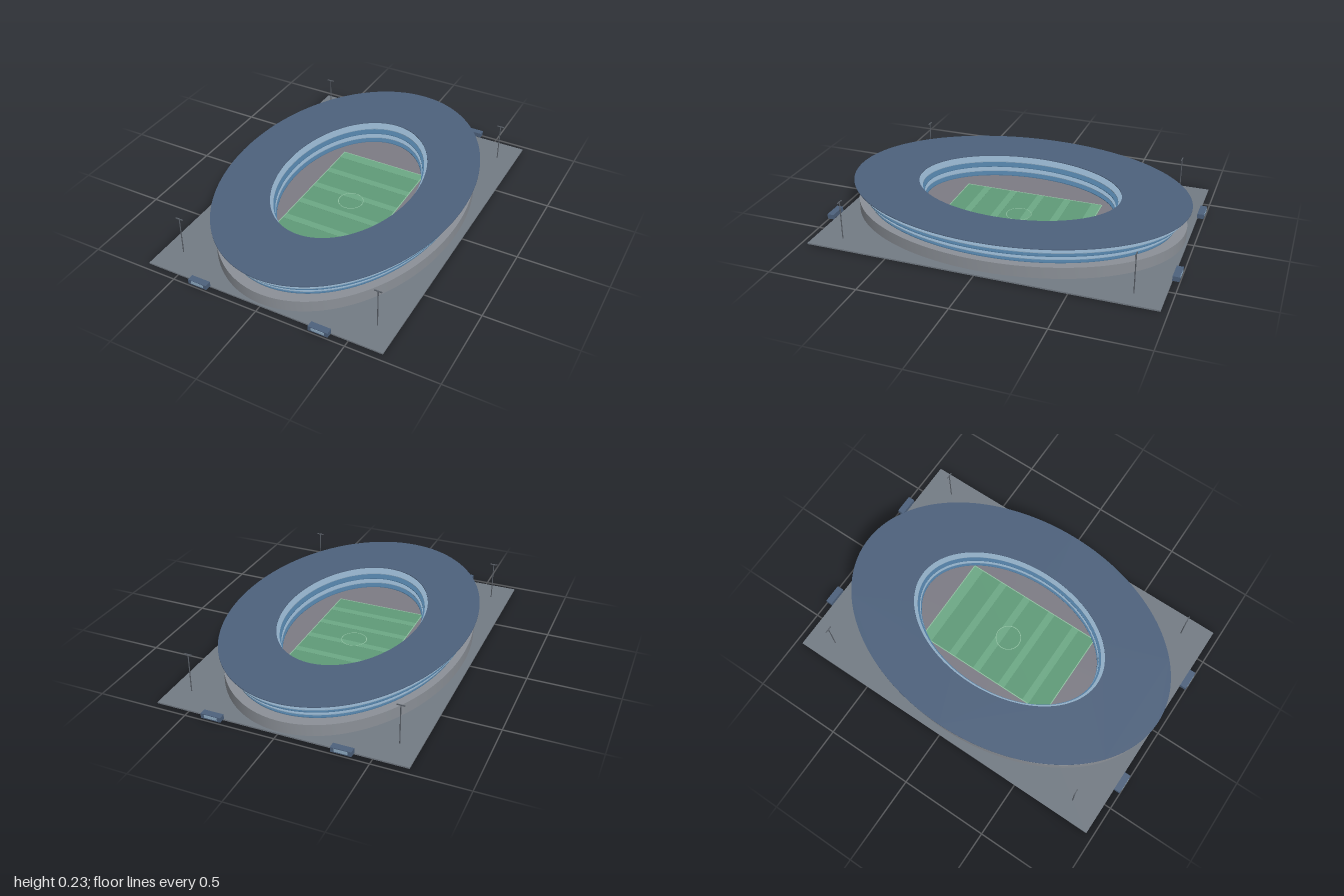
import * as THREE from 'three';
import { toCreasedNormals } from 'three/addons/utils/BufferGeometryUtils.js';

const mat = (color) => new THREE.MeshStandardMaterial({ color });
const concrete = mat(0x8b9097), paving = mat(0x737b84), track = mat(0x7c7b84);
const navy = mat(0x4d617c), blue = mat(0x4f7ba0), pale = mat(0x8facc4);
const grass = mat(0x5f9a78), grassLight = mat(0x6ca885), lineMat = mat(0x8fc0a0), steel = mat(0x5a6068);

function add(parent, name, geometry, material, x = 0, y = 0, z = 0) {
  const mesh = new THREE.Mesh(geometry, material);
  mesh.name = name;
  mesh.position.set(x, y, z);
  parent.add(mesh);
  return mesh;
}

const box = (parent, name, w, h, d, material, x, y, z) =>
  add(parent, name, new THREE.BoxGeometry(w, h, d), material, x, y, z);

// Flat elliptical ring with outer radii ax, az and inner radii bx, bz, rising from y = 0
function ellipseRing(ax, az, bx, bz, height) {
  const shape = new THREE.Shape().absellipse(0, 0, ax, az, 0, Math.PI * 2);
  shape.holes.push(new THREE.Path().absellipse(0, 0, bx, bz, 0, Math.PI * 2, true));
  const g = new THREE.ExtrudeGeometry(shape, { depth: height, bevelEnabled: false, curveSegments: 96 });
  g.rotateX(-Math.PI / 2);
  return toCreasedNormals(g, 0.6);
}

export function createModel() {
  const model = new THREE.Group();
  model.name = 'stadium';

  // Site slab and floor inside the bowl
  box(model, 'groundSlab', 1.37, 0.008, 1.925, paving, 0, 0.004, 0);
  const floor = add(model, 'innerFloor', new THREE.CircleGeometry(1, 96), track, 0, 0.009, 0);
  floor.rotation.x = -Math.PI / 2;
  floor.scale.set(0.6, 0.89, 1);

  // Outer wall
  add(model, 'outerWall', ellipseRing(0.645, 0.95, 0.6, 0.89, 0.067), concrete, 0, 0.006, 0);

  // Seating tiers and roof: y, outer radii, inner radii, material
  [
    [0.074, 0.605, 0.89, 0.356, 0.549, blue],
    [0.101, 0.62, 0.906, 0.359, 0.552, pale],
    [0.128, 0.634, 0.923, 0.361, 0.555, blue],
    [0.155, 0.648, 0.946, 0.37, 0.566, pale],
    [0.188, 0.67, 0.97, 0.386, 0.585, navy],
  ].forEach(([y, ax, az, bx, bz, m], i) =>
    add(model, i < 4 ? `seatingTier${i + 1}` : 'roof', ellipseRing(ax, az, bx, bz, 0.004), m, 0, y, 0));

  // Pitch with mown stripes, side lines and centre circle
  const pitch = new THREE.Group();
  pitch.name = 'pitch';
  model.add(pitch);
  box(pitch, 'grass', 0.53, 0.004, 0.836, grass, 0, 0.01, 0);
  for (const z of [-0.385, -0.21, -0.045, 0.125, 0.29])
    box(pitch, 'mownStripe', 0.53, 0.002, z < -0.3 ? 0.06 : 0.042, grassLight, 0, 0.012, z);
  for (const s of [-1, 1]) {
    box(pitch, 'sideLine', 0.005, 0.003, 0.836, lineMat, s * 0.264, 0.0125, 0);
    box(pitch, 'endLine', 0.53, 0.003, 0.005, lineMat, 0, 0.0125, s * 0.416);
  }
  const circle = add(pitch, 'centreCircle', new THREE.RingGeometry(0.069, 0.073, 48), lineMat, 0, 0.0135, 0);
  circle.rotation.x = -Math.PI / 2;

  // Entrance gates and floodlights, mirrored to all four corners
  for (const sx of [-1, 1]) for (const sz of [-1, 1]) {
    const gate = new THREE.Group();
    gate.name = 'entranceGate';
    model.add(gate);
    box(gate, 'gateHouse', 0.11, 0.027, 0.037, navy, sx * 0.352, 0.0235, sz * 0.98);
    box(gate, 'gateWindow', 0.072, 0.016, 0.004, pale, sx * 0.352, 0.025, sz * 0.998);

    const light = new THREE.Group();
    light.name = 'floodlight';
    model.add(light);
    add(light, 'mast', new THREE.CylinderGeometry(0.003, 0.003, 0.224, 8), steel, sx * 0.578, 0.118, sz * 0.807);
    box(light, 'lampBar', 0.042, 0.005, 0.005, steel, sx * 0.578, 0.23, sz * 0.807);
  }
  return model;
}
